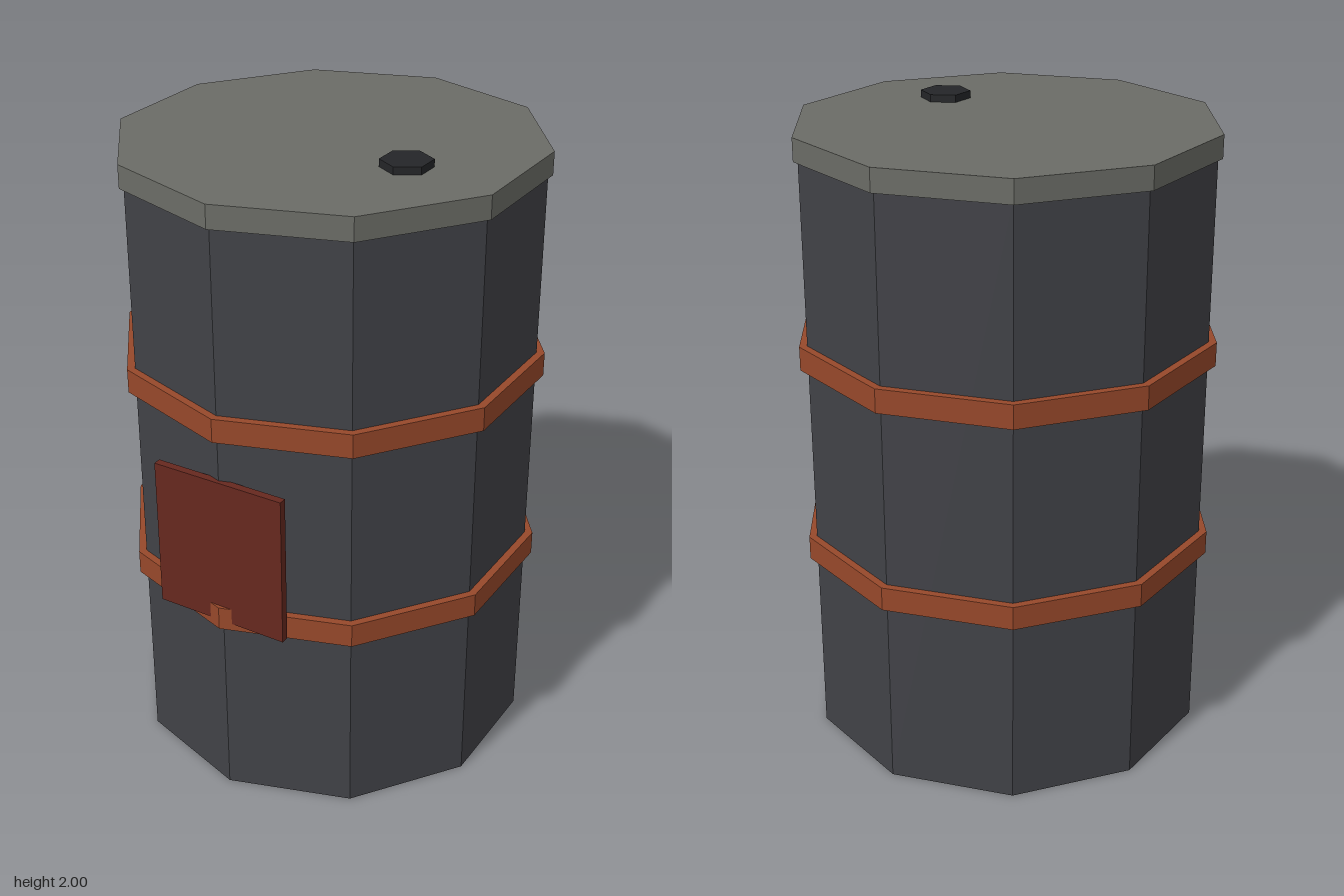
import * as THREE from 'three';

const COLORS = { steel: 0x414247, rust: 0x97482a, lid: 0x6b6c66, plate: 0x66281f, cap: 0x242528 };

function material(color) {
  return new THREE.MeshStandardMaterial({ color, flatShading: true });
}

export function createModel() {
  const barrel = new THREE.Group();
  barrel.name = 'barrel';

  // Upright prism between two heights, with a corner facing the front
  function prism(name, radius, bottom, top, sides, color, x = 0, z = 0) {
    const geometry = new THREE.CylinderGeometry(radius, radius, top - bottom, sides);
    const mesh = new THREE.Mesh(geometry, material(color));
    mesh.name = name;
    mesh.position.set(x, (bottom + top) / 2, z);
    barrel.add(mesh);
  }

  // Ten-sided body and lid
  prism('body', 0.64, 0, 1.92, 10, COLORS.steel);
  prism('lid', 0.654, 1.905, 1.977, 10, COLORS.lid);

  // Two rusty hoops
  [['lowerHoop', 0.65], ['upperHoop', 1.297]].forEach(([name, y]) => {
    prism(name, 0.665, y - 0.038, y + 0.038, 10, COLORS.rust);
  });

  // Hexagonal filler cap
  prism('fillerCap', 0.078, 1.96, 2, 6, COLORS.cap, 0.32, 0.128);

  // Flat plate on the front corner
  const plate = new THREE.Mesh(new THREE.BoxGeometry(0.44, 0.485, 0.025), material(COLORS.plate));
  plate.name = 'frontPlate';
  plate.position.set(0, 0.878, 0.64);
  barrel.add(plate);

  return barrel;
}
